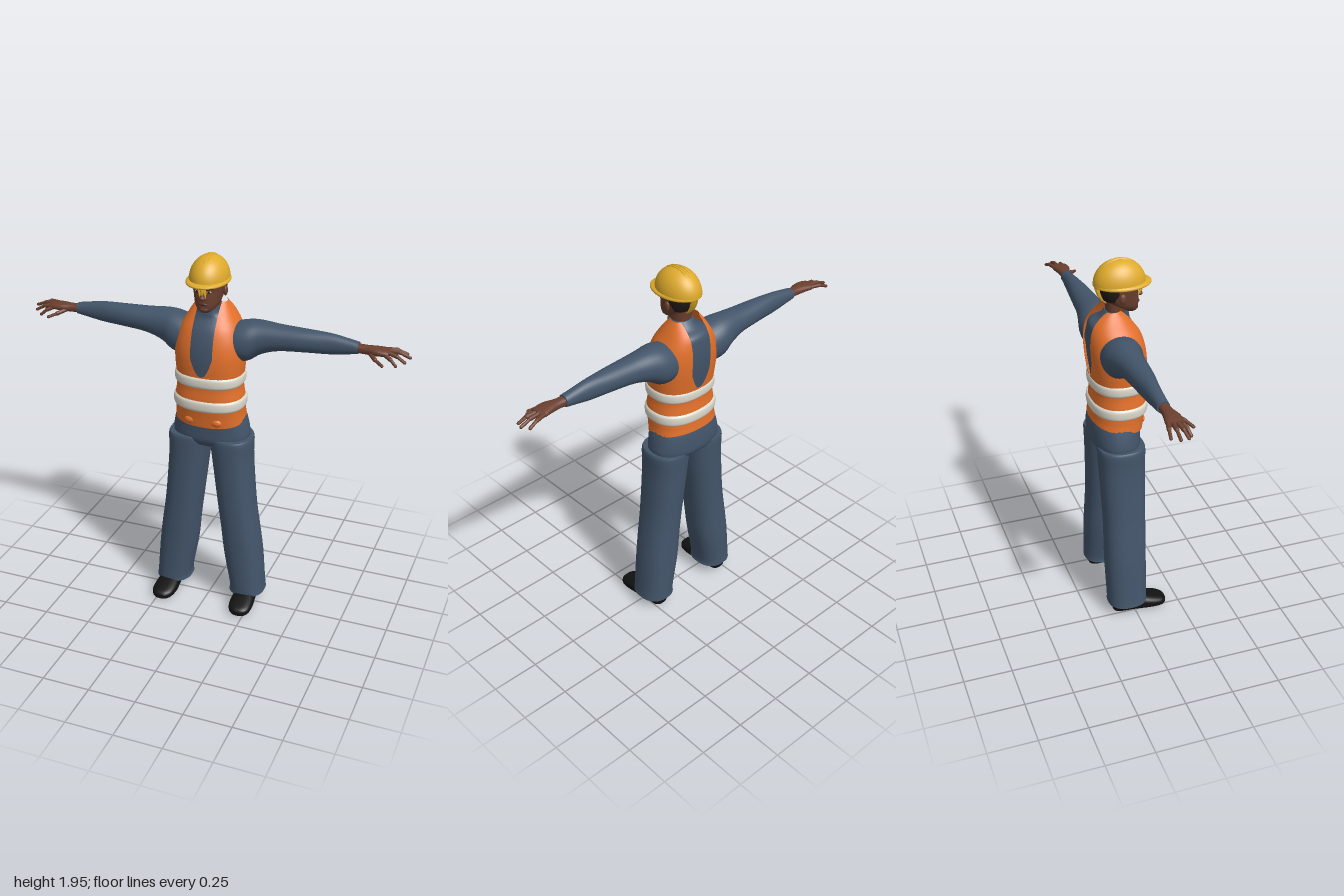
import * as THREE from 'three';

const mat = (name, color, side = THREE.FrontSide) => {
  const m = new THREE.MeshStandardMaterial({ color, side });
  m.name = name;
  return m;
};

// Smooth skin over rings [s, u, ru, v0, v1]: position along the axis, centre and
// half width across, then the two limits of the other direction.
// axis 'y': u=x, v=z   axis 'x': u=z, v=y   axis 'z': u=y, v=x
function loft(rings, { axis = 'y', seg = 32, sub = 4, p = 0.85, range = null, cap = true } = {}) {
  const rows = [];
  const n = rings.length;
  for (let i = 0; i < n - 1; i++) {
    const [a, b, c, d] = [-1, 0, 1, 2].map(k => rings[Math.min(n - 1, Math.max(0, i + k))]);
    for (let j = 0; j < sub; j++) {
      const t = j / sub;
      rows.push(b.map((_, k) => 0.5 * (2 * b[k] + (c[k] - a[k]) * t
        + (2 * a[k] - 5 * b[k] + 4 * c[k] - d[k]) * t * t
        + (3 * b[k] - a[k] - 3 * c[k] + d[k]) * t * t * t)));
    }
  }
  rows.push(rings[n - 1]);
  if (cap && !range) {
    const flat = r => [r[0], r[1], 1e-4, (r[3] + r[4]) / 2 - 1e-4, (r[3] + r[4]) / 2 + 1e-4];
    const first = rows[0], last = rows[rows.length - 1];
    rows.unshift(flat(first), first);
    rows.push(last, flat(last));
  }
  const pow = x => Math.sign(x) * Math.abs(x) ** p;
  const pos = [], idx = [], cols = range ? seg + 1 : seg;
  rows.forEach((r, i) => {
    const [s, u0, ru, v0, v1] = r;
    const [t0, t1] = range ? range(r, p) : [0, Math.PI * 2];
    for (let j = 0; j < cols; j++) {
      const t = t0 + (t1 - t0) * j / seg;
      const u = u0 + ru * pow(Math.sin(t));
      const v = (v0 + v1) / 2 + (v1 - v0) / 2 * pow(Math.cos(t));
      pos.push(...(axis === 'y' ? [u, s, v] : axis === 'x' ? [s, v, u] : [v, u, s]));
    }
    if (i === rows.length - 1) return;
    for (let j = 0; j < seg; j++) {
      const k = (j + 1) % cols, a = i * cols, b = a + cols;
      idx.push(a + j, a + k, b + k, a + j, b + k, b + j);
    }
  });
  const g = new THREE.BufferGeometry();
  g.setAttribute('position', new THREE.Float32BufferAttribute(pos, 3));
  g.setIndex(idx);
  g.computeVertexNormals();
  return g;
}

// Mirror across x with corner order kept facing outward
function mirrored(geo) {
  const g = geo.clone().scale(-1, 1, 1);
  const a = g.index.array;
  for (let i = 0; i < a.length; i += 3) [a[i], a[i + 1]] = [a[i + 1], a[i]];
  return g;
}

const ball = (x, y, z, rx, ry, rz) =>
  new THREE.SphereGeometry(1, 20, 14).scale(rx, ry, rz).translate(x, y, z);

// Rounded rod between two points
function rod(a, b, r) {
  const A = new THREE.Vector3(...a), B = new THREE.Vector3(...b), d = B.clone().sub(A);
  const q = new THREE.Quaternion().setFromUnitVectors(new THREE.Vector3(0, 1, 0), d.clone().normalize());
  return new THREE.CapsuleGeometry(r, d.length(), 5, 10).applyQuaternion(q)
    .translate(...A.add(B).multiplyScalar(0.5).toArray());
}

export function createModel() {
  const model = new THREE.Group();
  model.name = 'constructionWorker';
  const cloth = mat('blue cloth', 0x43556a);
  const orange = mat('vest orange', 0xe4712b, THREE.DoubleSide);
  const silver = mat('reflective band', 0xdcd9cc);
  const yellow = mat('helmet yellow', 0xdfab2c);
  const skin = mat('skin', 0x6b3f2f);
  const lip = mat('lips', 0x552e27);
  const hairMat = mat('hair', 0x211917, THREE.DoubleSide);
  const black = mat('shoe black', 0x121212);
  const eyeWhite = mat('eye white', 0xb5a8a0);

  const add = (name, geo, material) => {
    const m = new THREE.Mesh(geo, material);
    m.name = name;
    model.add(m);
  };
  const pair = (name, geo, material) => {
    add(name + 'Left', geo, material);
    add(name + 'Right', mirrored(geo), material);
  };

  // Trousers
  pair('trouserLeg', loft([
    [0.065, 0.212, 0.096, -0.142, 0.07], [0.11, 0.21, 0.092, -0.142, 0.07],
    [0.3, 0.185, 0.102, -0.145, 0.073], [0.45, 0.167, 0.1, -0.143, 0.077],
    [0.6, 0.147, 0.099, -0.143, 0.08], [0.85, 0.121, 0.104, -0.152, 0.085],
    [0.96, 0.114, 0.111, -0.157, 0.088], [0.985, 0.112, 0.106, -0.154, 0.084]]), cloth);
  add('hips', loft([
    [0.94, 0, 0.15, -0.13, 0.06], [0.975, 0, 0.2, -0.162, 0.08], [1.03, 0, 0.199, -0.167, 0.084],
    [1.1, 0, 0.182, -0.16, 0.088], [1.15, 0, 0.165, -0.14, 0.09]]), cloth);

  // Shoes
  pair('shoe', loft([
    [-0.115, 0.045, 0.03, 0.185, 0.25], [-0.09, 0.05, 0.046, 0.172, 0.265],
    [0, 0.048, 0.047, 0.166, 0.272], [0.08, 0.038, 0.037, 0.157, 0.283],
    [0.14, 0.03, 0.028, 0.165, 0.28], [0.168, 0.026, 0.021, 0.185, 0.262],
    [0.178, 0.025, 0.01, 0.2, 0.24]], { axis: 'z', p: 0.75 }), black);

  // Vest: half shells with a deep U opening in front and behind
  const vest = [
    [1.062, 0, 0.184, -0.163, 0.098], [1.12, 0, 0.18, -0.161, 0.106], [1.2, 0, 0.179, -0.156, 0.118],
    [1.27, 0, 0.17, -0.15, 0.115], [1.33, 0, 0.172, -0.156, 0.118], [1.4, 0, 0.178, -0.166, 0.122],
    [1.46, 0, 0.18, -0.173, 0.12], [1.52, 0, 0.172, -0.177, 0.11], [1.58, 0, 0.152, -0.175, 0.09],
    [1.63, 0, 0.124, -0.164, 0.06], [1.67, 0, 0.1, -0.138, 0.03], [1.705, 0, 0.077, -0.1, -0.005]];
  const opening = ([y, , rx], p) => {
    const half = 0.058 * Math.sqrt(Math.min(1, Math.max(0, (y - 1.348) / 0.1)));
    const t = Math.asin(Math.min(0.95, half / rx) ** (1 / p));
    return [half ? t : 0, half ? Math.PI - t : Math.PI];
  };
  const shell = loft(vest, { range: opening, sub: 8, seg: 28 });
  const P = shell.attributes.position;
  for (let i = 0; i < P.count; i++) { // hem rises toward the back
    const y = P.getY(i), back = Math.max(0, Math.min(1, (0.1 - P.getZ(i)) / 0.25));
    if (y < 1.13) P.setY(i, y + (1.13 - y) / 0.068 * 0.042 * back);
  }
  shell.computeVertexNormals();
  pair('vest', shell, orange);
  pair('vestPocketFlap', ball(0.07, 1.095, 0.088, 0.03, 0.022, 0.017), orange);

  // Reflective bands
  const band = (y, rx, v0, v1) => loft([[-0.03, 0], [-0.02, 0.008], [0, 0.01], [0.02, 0.008], [0.03, 0]]
    .map(([dy, o]) => [y + dy, 0, rx + o, v0 - o, v1 + o]), { cap: false, seg: 48 });
  add('waistBand', band(1.187, 0.178, -0.156, 0.117), silver);
  add('chestBand', band(1.315, 0.17, -0.153, 0.117), silver);

  // Shirt body with a high collar
  add('shirt', loft([
    ...vest.slice(3, 10).map(([y, u, r, a, b]) => [y, u, r - 0.012, a + 0.012, b - 0.012]),
    [1.655, 0, 0.068, -0.11, 0.043], [1.69, 0, 0.057, -0.078, 0.038]]), cloth);

  // Sleeves
  pair('sleeve', loft([
    [0.08, -0.045, 0.09, 1.42, 1.59], [0.14, -0.046, 0.101, 1.405, 1.607], [0.2, -0.05, 0.1, 1.413, 1.619],
    [0.26, -0.054, 0.083, 1.452, 1.62], [0.35, -0.052, 0.068, 1.482, 1.614], [0.48, -0.052, 0.056, 1.494, 1.61],
    [0.6, -0.054, 0.041, 1.5, 1.606], [0.68, -0.054, 0.034, 1.512, 1.594], [0.745, -0.053, 0.031, 1.523, 1.582]],
  { axis: 'x', p: 0.95 }), cloth);

  // Hands
  pair('palm', loft([
    [0.72, -0.053, 0.025, 1.53, 1.575], [0.78, -0.05, 0.027, 1.53, 1.573], [0.83, -0.047, 0.038, 1.532, 1.574],
    [0.87, -0.051, 0.043, 1.535, 1.57], [0.895, -0.053, 0.038, 1.54, 1.565]], { axis: 'x' }), skin);
  const fingers = [
    [[0.875, 1.555, -0.083], [0.925, 1.553, -0.096], [0.97, 1.535, -0.104]],
    [[0.885, 1.557, -0.063], [0.94, 1.553, -0.066], [0.992, 1.533, -0.067]],
    [[0.885, 1.555, -0.042], [0.935, 1.545, -0.032], [0.975, 1.523, -0.023]],
    [[0.875, 1.55, -0.023], [0.91, 1.535, -0.007], [0.938, 1.51, 0.002]],
    [[0.8, 1.545, -0.035], [0.84, 1.53, 0.01], [0.88, 1.515, 0.035]]];
  for (const [a, b, c] of fingers) {
    pair('fingerBase', rod(a, b, 0.0105), skin);
    pair('fingerTip', rod(b, c, 0.008), skin);
  }

  // Neck and head
  add('neck', loft([[1.66, 0, 0.05, -0.07, 0.03], [1.72, 0, 0.052, -0.075, 0.04],
    [1.76, 0, 0.055, -0.08, 0.045]]), skin);
  const head = [
    [1.676, 0, 0.024, 0.03, 0.08], [1.69, 0, 0.043, 0, 0.087], [1.715, 0, 0.06, -0.045, 0.089],
    [1.75, 0, 0.07, -0.085, 0.089], [1.78, 0, 0.076, -0.098, 0.087], [1.81, 0, 0.079, -0.104, 0.091],
    [1.85, 0, 0.078, -0.1, 0.086], [1.89, 0, 0.055, -0.07, 0.06]];
  add('head', loft(head, { p: 0.9 }), skin);
  add('hair', loft(head.slice(3, 7).map(([y, u, r, a, b]) => [y, u, r + 0.004, a - 0.005, b]),
    { p: 0.9, range: ([y]) => { const t = 1.75 + 9 * Math.max(0, 1.79 - y); return [t, 2 * Math.PI - t]; } }), hairMat);
  pair('ear', ball(0.08, 1.77, -0.012, 0.01, 0.026, 0.017).rotateX(0), skin);
  add('noseBridge', rod([0, 1.79, 0.086], [0, 1.762, 0.1], 0.009), skin);
  add('noseTip', ball(0, 1.756, 0.1, 0.016, 0.011, 0.015), skin);
  add('mouth', ball(0, 1.722, 0.087, 0.023, 0.008, 0.009), lip);
  add('chin', ball(0, 1.693, 0.077, 0.026, 0.015, 0.014), skin);
  pair('eye', ball(0.031, 1.785, 0.081, 0.012, 0.005, 0.006), eyeWhite);
  pair('pupil', ball(0.031, 1.785, 0.085, 0.005, 0.005, 0.004), black);
  pair('eyebrow', rod([0.015, 1.799, 0.088], [0.047, 1.803, 0.079], 0.0045), hairMat);

  // Hard hat: dome, ridges and brim
  add('helmetDome', new THREE.SphereGeometry(1, 40, 20, 0, Math.PI * 2, 0, Math.PI / 2)
    .scale(0.097, 0.118, 0.13).translate(0, 1.828, -0.004), yellow);
  add('helmetRidge', ball(0, 1.828, -0.004, 0.016, 0.123, 0.126), yellow);
  pair('helmetSideRidge', ball(0.014, 1.828, -0.004, 0.006, 0.121, 0.124), yellow);
  add('helmetBrim', loft([
    [1.817, 0, 0.1, -0.128, 0.148], [1.821, 0, 0.105, -0.134, 0.155],
    [1.829, 0, 0.104, -0.134, 0.154], [1.835, 0, 0.097, -0.132, 0.135]], { p: 1, seg: 40 }), yellow);

  return model;
}
